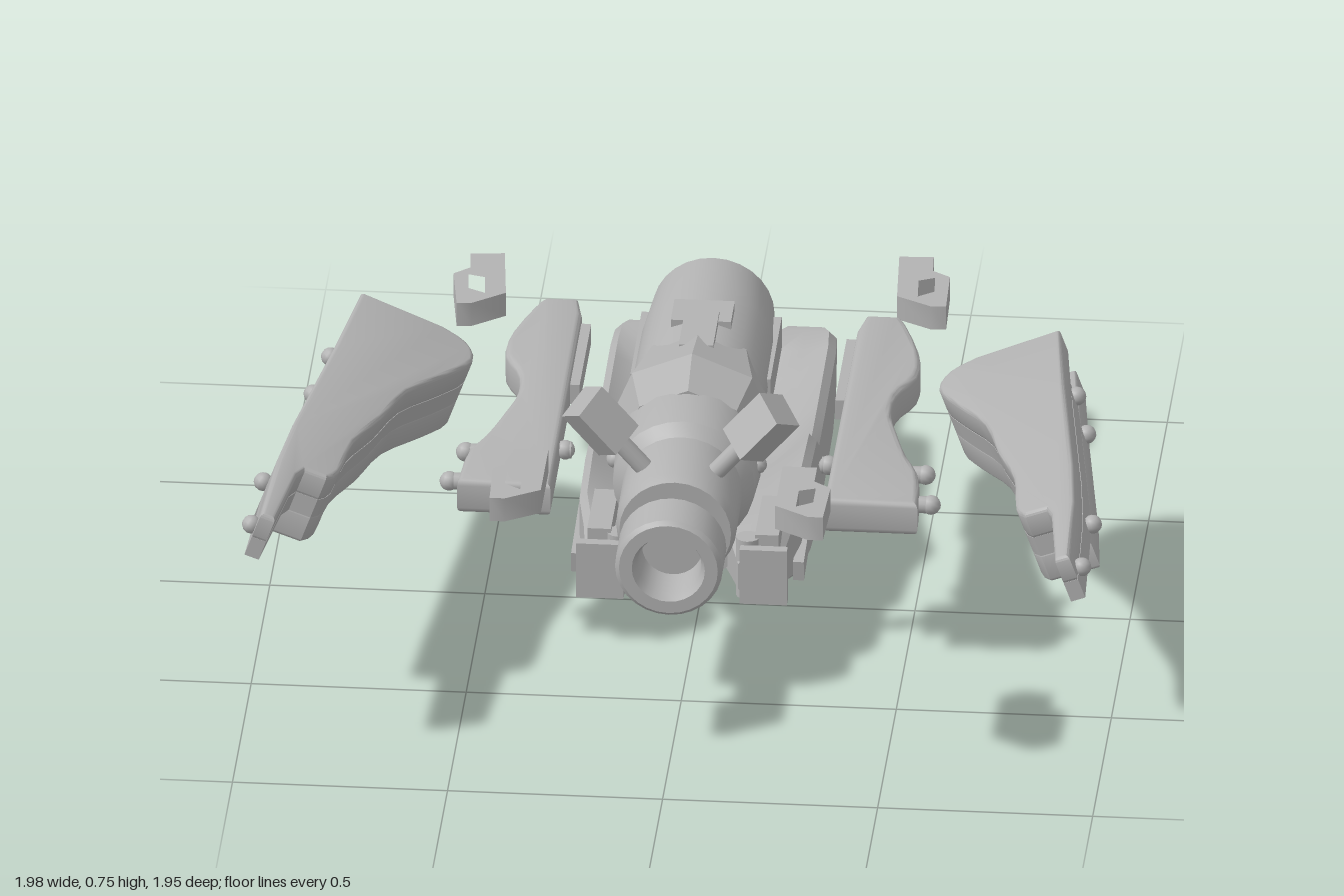
import * as THREE from 'three';
import { toCreasedNormals } from 'three/addons/utils/BufferGeometryUtils.js';

const grey = new THREE.MeshStandardMaterial({ color: 0xb2b2b2 });
grey.name = 'hull grey';
const CX = -0.022; // centre line of the fuselage

function add(parent, name, geo, x = 0, y = 0, z = 0) {
  const m = new THREE.Mesh(geo, grey);
  m.name = name;
  m.position.set(x, y, z);
  parent.add(m);
  return m;
}
const crease = (g, a = 0.6) => toCreasedNormals(g, a);
const v2 = (p) => new THREE.Vector2(p[0], p[1]);

// plan outline [x, z] extruded downward from y = 0
function slab(pts, depth, { s = 1, bevel = 0, hole = null } = {}) {
  const flip = (p) => new THREE.Vector2(p[0] * s, p[1]);
  const shape = new THREE.Shape(pts.map(flip));
  if (hole) shape.holes.push(new THREE.Path(hole.map(flip)));
  const g = new THREE.ExtrudeGeometry(shape, {
    depth: depth - 2 * bevel, bevelEnabled: bevel > 0, bevelSize: bevel,
    bevelThickness: bevel, bevelOffset: -bevel, bevelSegments: 3,
  });
  g.translate(0, 0, bevel).rotateX(Math.PI / 2);
  return crease(g);
}
const smooth = (pts, n = 24) => new THREE.SplineCurve(pts.map(v2)).getPoints(n).map((p) => [p.x, p.y]);

// solid of revolution along z from [radius, z] points
const turned = (pts, sides = 28, angle = 0.5) =>
  crease(new THREE.LatheGeometry(pts.map(v2), sides).rotateX(Math.PI / 2), angle);

// solid through rings of [x, y, z] corners
function loft(rings, s) {
  const n = rings[0].length, pos = [], idx = [];
  rings.forEach((r) => r.forEach((p) => pos.push(p[0] * s, p[1], p[2])));
  const tri = (a, b, c) => (s > 0 ? idx.push(a, b, c) : idx.push(a, c, b));
  for (let i = 0; i < rings.length - 1; i++)
    for (let j = 0; j < n; j++) {
      const a = i * n + j, b = i * n + ((j + 1) % n);
      tri(a, b, b + n);
      tri(a, b + n, a + n);
    }
  const end = (rings.length - 1) * n;
  for (let j = 1; j < n - 1; j++) {
    tri(end, end + j, end + j + 1);
    tri(0, j + 1, j);
  }
  const g = new THREE.BufferGeometry();
  g.setAttribute('position', new THREE.Float32BufferAttribute(pos, 3));
  g.setIndex(idx);
  return crease(g, 0.7);
}

function fuselage() {
  const g = new THREE.Group();
  g.name = 'fuselage';
  g.position.set(CX, 0.425, 0);
  g.rotation.x = 0.03;
  add(g, 'rearBarrel', turned([[0, -0.64], [0.125, -0.64], [0.142, -0.62], [0.155, -0.45], [0.157, -0.22], [0.15, -0.1], [0, -0.1]]), 0, 0.0, 0);
  add(g, 'collar', turned([[0, -0.24], [0.155, -0.24], [0.17, -0.17], [0.198, -0.05], [0.16, 0.06], [0, 0.06]], 8, 0.1), 0, 0.005, 0);
  add(g, 'frontBarrel', turned([[0, 0], [0.165, 0], [0.172, 0.06], [0.165, 0.18], [0.14, 0.21], [0.14, 0.38], [0.13, 0.41], [0, 0.41]]), 0, -0.015, 0);
  add(g, 'nozzle', turned([[0, 0.25], [0.125, 0.25], [0.125, 0.515], [0.115, 0.525], [0.085, 0.525], [0.075, 0.5], [0.07, 0.42], [0, 0.42]]), -0.006, -0.052, 0);
  add(g, 'dorsalHatch', new THREE.BoxGeometry(0.14, 0.05, 0.1), 0, 0.135, -0.335);
  add(g, 'dorsalSpine', new THREE.BoxGeometry(0.08, 0.06, 0.17), 0, 0.138, -0.24);
  for (const s of [-1, 1]) {
    for (const z of [-0.1, 0.1])
      add(g, 'sideStud', new THREE.SphereGeometry(0.022, 12, 8), s * 0.165, 0, z);
    add(g, 'sideRail', new THREE.BoxGeometry(0.03, 0.08, 0.3), s * 0.148, -0.02, -0.42);
  }
  return g;
}

// angled square blocks on pegs above the neck
function thruster(s) {
  const g = new THREE.Group();
  g.name = 'thrusterBlock';
  g.position.set(-0.018 + s * 0.187, 0.625, 0.305);
  g.rotation.z = -s * 0.72;
  const block = crease(new THREE.CylinderGeometry(0.062, 0.062, 0.13, 4), 0.1);
  add(g, 'block', block).scale.z = 1.2;
  add(g, 'peg', new THREE.CylinderGeometry(0.022, 0.022, 0.12, 12), 0, -0.1, 0);
  return g;
}

// long tilted outer wing, three stacked layers
function outerWing(s) {
  const g = new THREE.Group();
  g.name = s > 0 ? 'leftOuterWing' : 'rightOuterWing';
  g.position.set(s * 0.94, s > 0 ? 0.652 : 0.677, 0);
  g.rotation.z = s * 0.35;
  const local = (pts) => pts.map(([x, z]) => [(x - 0.94) / 0.94, z]);
  const inner = smooth([[0.62, -0.27], [0.56, -0.235], [0.54, -0.16], [0.59, -0.05], [0.67, 0.1], [0.715, 0.27], [0.765, 0.43], [0.785, 0.6], [0.81, 0.65]]);
  const edge = [[0.925, 0.65], [0.905, 0.45], [0.845, 0]];
  const prong = [[0.86, 0.65], [0.875, 0.69], [0.905, 0.94], [0.938, 0.94]];
  const tail = [[0.81, -0.29]];
  const notch = [[0.827, -0.13], [0.76, -0.13], [0.74, -0.28]];
  const layer = (name, pts, y, d, bevel = 0) => add(g, name, slab(local(pts), d, { s, bevel }), 0, y, 0);
  layer('topLayer', [...inner, ...prong, ...edge, ...tail], 0, 0.07, 0.01);
  layer('middleLayer', [...inner, ...prong, ...edge, ...notch], -0.065, 0.05);
  layer('bottomLayer', [...inner, ...edge, ...tail], -0.11, 0.075, 0.008);
  for (const [x, y, z] of [[0.94, -0.06, 0.89], [0.925, -0.1, 0.59], [0.845, -0.145, 0], [0.832, -0.09, -0.1]])
    add(g, 'rivet', new THREE.SphereGeometry(0.022, 12, 8), s * (x - 0.935) / 0.94, y, z);
  return g;
}

// flat inner wing with coupling pins
function innerWing(s) {
  const g = new THREE.Group();
  g.name = s > 0 ? 'leftInnerWing' : 'rightInnerWing';
  g.position.y = s > 0 ? 0.46 : 0.473;
  const curve = smooth([[0.535, 0.34], [0.525, 0.19], [0.485, 0.08], [0.455, -0.03], [0.435, -0.12], [0.44, -0.22], [0.478, -0.31], [0.475, -0.42], [0.43, -0.57], [0.41, -0.605]]);
  add(g, 'panel', slab([[0.318, 0.34], ...curve, [0.335, -0.605], [0.32, -0.53]], 0.085, { s, bevel: 0.014 }));
  add(g, 'innerRail', new THREE.BoxGeometry(0.03, 0.05, 0.31), s * 0.312, -0.043, -0.355);
  for (const [x, z] of [[0.535, 0.11], [0.56, 0.26], [0.306, 0.08]]) {
    add(g, 'pinHead', new THREE.SphereGeometry(0.023, 12, 8), s * x, -0.043, z);
    const dx = x > 0.4 ? -0.035 : 0.02;
    add(g, 'pin', new THREE.CylinderGeometry(0.02, 0.02, 0.07, 12).rotateZ(Math.PI / 2), s * (x + dx), -0.043, z);
  }
  return g;
}

// keel pod: stations of z, inner x, outer x, bottom, top, drop of the inner top edge
function pod(s) {
  const g = new THREE.Group();
  g.name = s > 0 ? 'leftPod' : 'rightPod';
  g.position.x = CX;
  const stations = [
    [-0.975, 0.125, 0.245, 0.19, 0.23, 0], [-0.95, 0.112, 0.258, 0.14, 0.233, 0],
    [-0.88, 0.107, 0.262, 0.07, 0.23, 0.02], [-0.8, 0.105, 0.262, 0.03, 0.228, 0.05],
    [-0.6, 0.1, 0.262, 0.017, 0.222, 0.08], [-0.43, 0.06, 0.262, 0.008, 0.222, 0.09],
    [-0.37, 0.05, 0.262, 0.005, 0.265, 0.12], [-0.2, 0.05, 0.262, 0.035, 0.28, 0.12],
    [0, 0.08, 0.258, 0.085, 0.28, 0.06], [0.09, 0.1, 0.24, 0.11, 0.255, 0.02], [0.22, 0.13, 0.225, 0.14, 0.24, 0],
  ];
  const rings = stations.map(([z, a, b, lo, hi, drop]) => {
    const c = 0.018, t = hi - drop;
    return [[a + c, lo, z], [b - c, lo, z], [b, lo + c, z], [b, hi - c, z], [b - c, hi, z],
      [(a + b) / 2, hi - drop * 0.7, z], [a + c, t, z], [a, t - c, z], [a, lo + c, z]];
  });
  add(g, 'shell', loft(rings, s));
  add(g, 'frontFlange', new THREE.BoxGeometry(0.11, 0.14, 0.025), s * 0.19, 0.2, 0.228);
  add(g, 'topBlock', new THREE.BoxGeometry(0.055, 0.15, 0.2), s * 0.195, 0.215, 0.1);
  add(g, 'frontPost', new THREE.CylinderGeometry(0.028, 0.028, 0.15, 14), s * 0.15, 0.205, 0.19);
  const plate = add(g, 'sidePlate', new THREE.BoxGeometry(0.025, 0.05, 0.36), s * 0.258, 0.155, -0.1);
  plate.rotation.x = 0.1;
  return g;
}

// cradle joining the pods under the fuselage
function cradle() {
  const shape = new THREE.Shape();
  shape.moveTo(-0.13, 0.22);
  shape.absarc(0, 0.22, 0.13, Math.PI, Math.PI * 2, false);
  shape.lineTo(0.1, 0.22);
  shape.absarc(0, 0.22, 0.1, 0, Math.PI, true);
  const g = new THREE.ExtrudeGeometry(shape, { depth: 0.45, bevelEnabled: false, curveSegments: 20 });
  return crease(g);
}

// small loose clip with a window
function clip(s, x, y, z) {
  const outline = [[-0.06, -0.125], [0.02, -0.125], [0.02, -0.055], [0.06, -0.025], [0.055, 0.125], [0.02, 0.125], [-0.06, 0.075]];
  const hole = [[-0.012, -0.005], [0.026, -0.02], [0.026, 0.05], [-0.012, 0.075]];
  const g = slab(outline, 0.06, { s, hole });
  return [g, x, y, z];
}

export function createModel() {
  const root = new THREE.Group();
  root.name = 'explodedCraft';
  root.add(fuselage());
  for (const s of [-1, 1]) root.add(thruster(s), outerWing(s), innerWing(s), pod(s));
  add(root, 'podCradle', cradle(), CX, 0, -0.4);
  for (const s of [-1, 1])
    add(root, 'cradleStrut', new THREE.CylinderGeometry(0.02, 0.025, 0.2, 10), CX + s * 0.04, 0.2, 0.02);
  add(root, 'frontLeftClip', ...clip(1, 0.315, 0.74, 0.845));
  add(root, 'frontRightClip', ...clip(-1, -0.35, 0.757, 0.845));
  add(root, 'rearLeftClip', ...clip(1, 0.452, 0.455, -0.79)).rotation.y = 0.06;
  add(root, 'rearRightClip', ...clip(-1, -0.572, 0.47, -0.69)).rotation.y = 0.1;
  return root;
}
